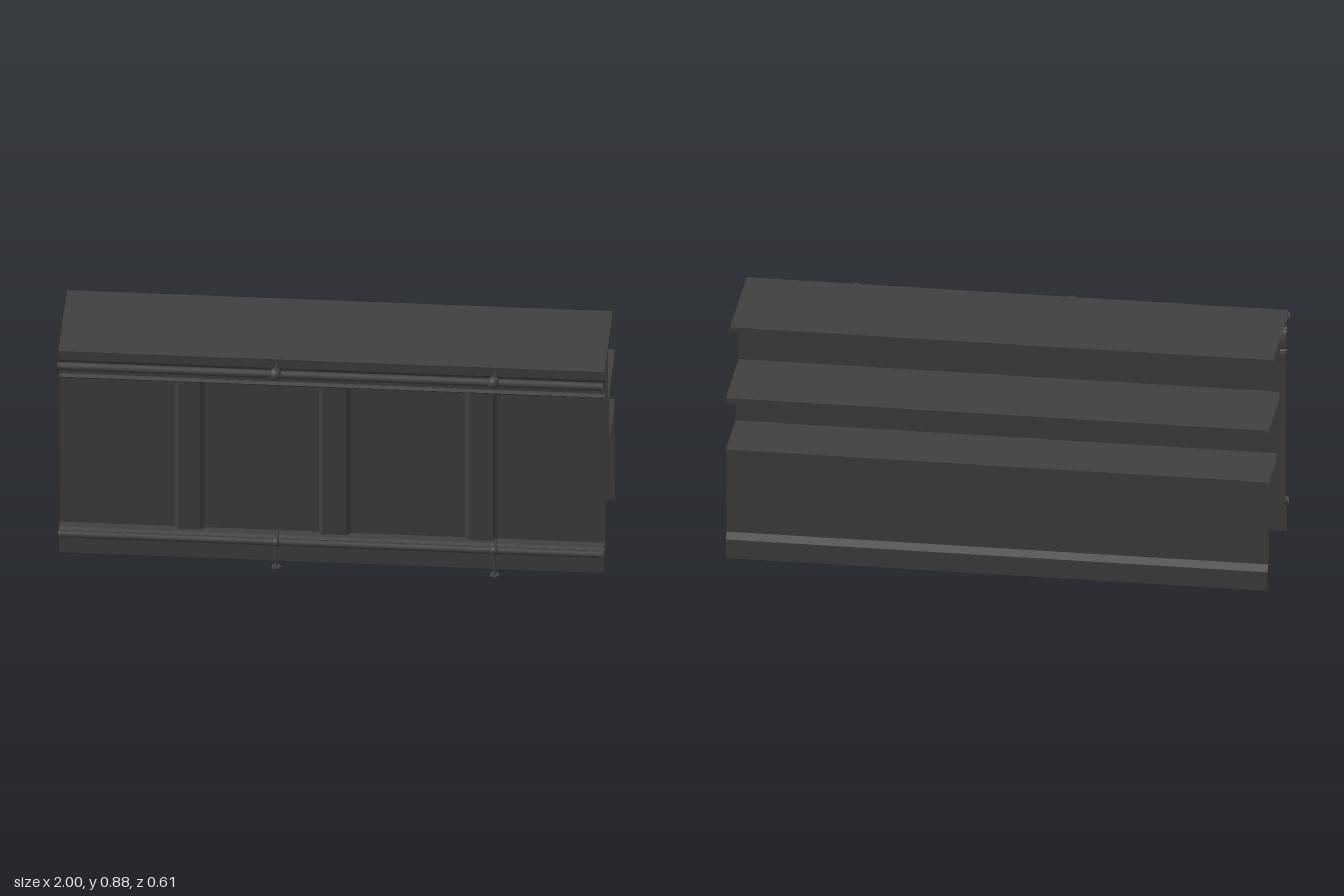
import * as THREE from 'three';

const material = new THREE.MeshStandardMaterial({ color: 0x404040, side: THREE.DoubleSide });

// Open sheet: a 2D line swept between two ends; place(a, b, end) gives a corner
function sweep(points, from, to, place) {
  const pos = [];
  for (let i = 0; i < points.length - 1; i++) {
    const [a, b] = points[i], [c, d] = points[i + 1];
    const p = place(a, b, from), q = place(a, b, to);
    const r = place(c, d, to), s = place(c, d, from);
    pos.push(...p, ...q, ...r, ...p, ...r, ...s);
  }
  const g = new THREE.BufferGeometry();
  g.setAttribute('position', new THREE.Float32BufferAttribute(pos, 3));
  g.computeVertexNormals();
  return g;
}

export function createModel() {
  const model = new THREE.Group();
  model.name = 'barCounter';

  const add = (name, geometry, x = 0, y = 0, z = 0) => {
    const mesh = new THREE.Mesh(geometry, material);
    mesh.name = name;
    mesh.position.set(x, y, z);
    model.add(mesh);
    return mesh;
  };
  // Profile of [z, y] points running the full length, open at the ends
  const run = (name, points) => add(name, sweep(points, 1, -1, (z, y, x) => [x, y, z]));
  const slab = (name, z0, z1, y0, y1) =>
    run(name, [[z0, y0], [z0, y1], [z1, y1], [z1, y0], [z0, y0]]);

  // Worktops, stepping down towards the back
  slab('topSlab', -0.19, 0.24, 0.865, 0.88);
  slab('middleShelf', -0.305, 0.03, 0.628, 0.648);
  slab('lowerShelf', -0.3, -0.05, 0.418, 0.437);

  // Risers between the worktops and the back wall with its skirting
  run('upperRiser', [[0.03, 0.865], [0.03, 0.648]]);
  run('lowerRiser', [[-0.05, 0.628], [-0.05, 0.437]]);
  run('backPanel', [[-0.28, 0.418], [-0.28, 0.09]]);
  run('backSkirting', [[-0.28, 0.095], [-0.305, 0.075], [-0.305, 0]]);

  // Front panel with three raised, bevelled strips
  const back = 0.165, out = 0.183, bevel = 0.014;
  const line = [[-1, back]];
  for (const [l, r] of [[-0.58, -0.47], [-0.05, 0.065], [0.487, 0.603]]) {
    line.push([l, back], [l + bevel, out], [r - bevel, out], [r, back]);
  }
  line.push([1, back]);
  add('frontPanel', sweep(line, 0.095, 0.737, (x, z, y) => [x, y, z]));

  // Front skirting with its ledge
  run('frontSkirting', [[back, 0.105], [0.2, 0.105], [0.207, 0.095], [0.207, 0]]);

  // Cornice under the top: bead, cove and fascia
  const cornice = [[back, 0.737], [0.19, 0.737], [0.195, 0.743], [0.19, 0.75], [0.183, 0.752]];
  for (let i = 0; i <= 6; i++) {
    const t = (i / 6) * Math.PI / 2;
    cornice.push([0.183 + 0.022 * (1 - Math.cos(t)), 0.765 + 0.055 * Math.sin(t)]);
  }
  cornice.push([0.21, 0.825], [0.21, 0.85], [0.225, 0.855], [0.225, 0.865]);
  run('cornice', cornice);

  // Hand rail and foot rail: open tubes with ball joints on arms
  const rail = (name, y, z, radius, ball, armBack) => {
    const tube = new THREE.CylinderGeometry(radius, radius, 2, 12, 1, true).rotateZ(Math.PI / 2);
    add(name, tube, 0, y, z);
    for (const x of [-0.2, 0.6]) {
      add(name + 'Ball', new THREE.SphereGeometry(ball, 12, 8), x, y, z);
      const length = z - armBack;
      const arm = new THREE.CylinderGeometry(0.005, 0.005, length, 8).rotateX(Math.PI / 2);
      add(name + 'Arm', arm, x, y - 0.001, z - length / 2);
    }
  };
  rail('handRail', 0.84, 0.279, 0.015, 0.025, 0.195);
  rail('footRail', 0.106, 0.252, 0.013, 0.018, 0.157);

  // Floor posts under the foot rail
  for (const x of [-0.2, 0.6]) {
    add('footPost', new THREE.CylinderGeometry(0.0045, 0.0045, 0.1, 8), x, 0.05, 0.252);
    add('footDisc', new THREE.CylinderGeometry(0.018, 0.018, 0.004, 12), x, 0.002, 0.252);
  }
  return model;
}
